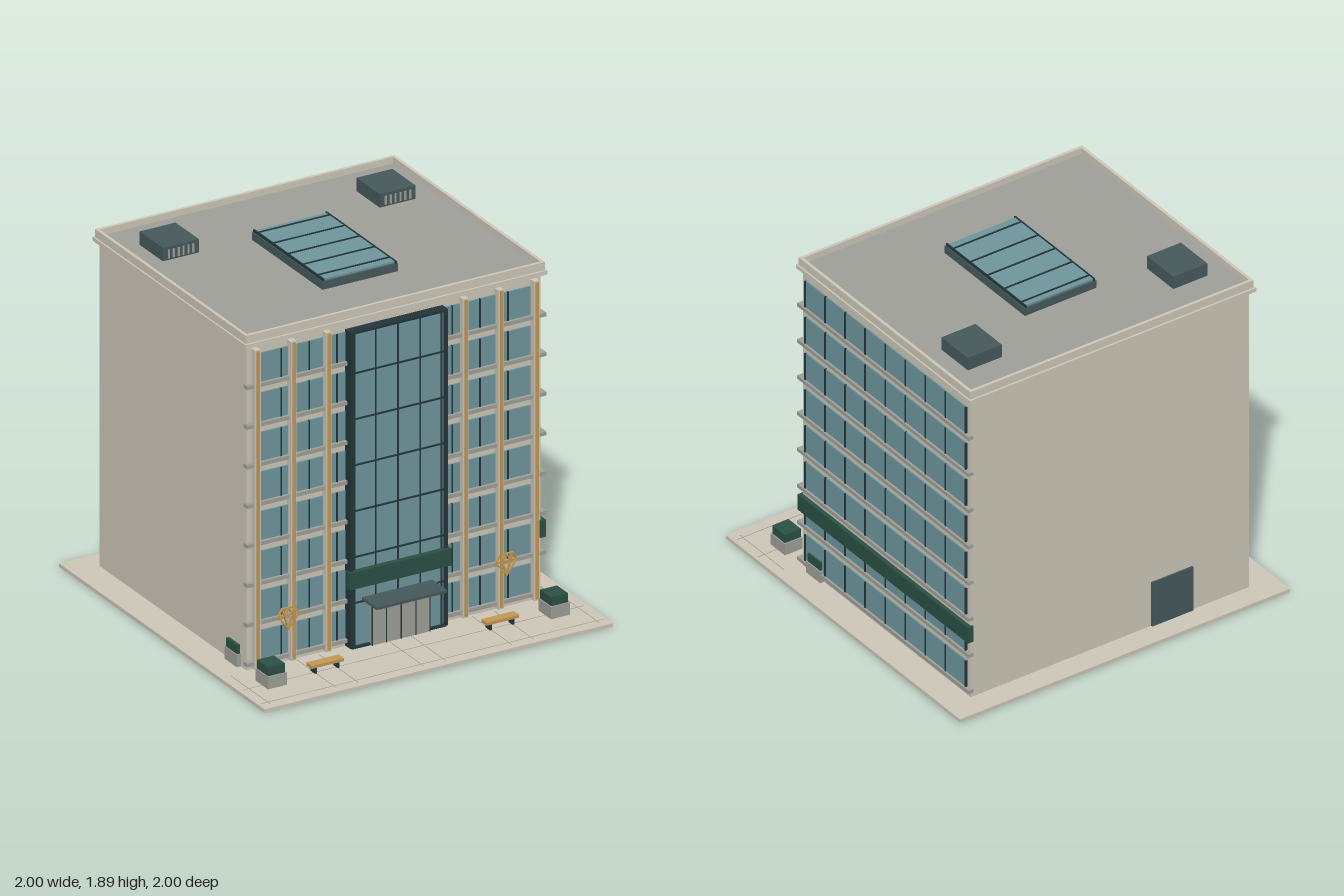
import * as THREE from 'three';

const mat = (name, hex) => {
  const m = new THREE.MeshStandardMaterial({ color: hex });
  m.name = name;
  return m;
};

export function createModel() {
  const root = new THREE.Group();
  root.name = 'officeBuilding';

  const stone = mat('pale stone', 0xcfc9ba);
  const grey = mat('grey concrete', 0xa0a19a);
  const glass = mat('blue glass', 0x6f989f);
  const frame = mat('dark frame', 0x24363a);
  const slate = mat('slate metal', 0x465a5c);
  const green = mat('deep green', 0x2b5145);
  const gold = mat('brass', 0xc69a52);

  // Box given by its extents on each axis
  const box = (name, m, x0, x1, y0, y1, z0, z1, parent = root) => {
    const mesh = new THREE.Mesh(new THREE.BoxGeometry(x1 - x0, y1 - y0, z1 - z0), m);
    mesh.position.set((x0 + x1) / 2, (y0 + y1) / 2, (z0 + z1) / 2);
    mesh.name = name;
    parent.add(mesh);
    return mesh;
  };
  // Box centred on x and z
  const block = (name, m, x, z, w, d, y0, y1, parent = root) =>
    box(name, m, x - w / 2, x + w / 2, y0, y1, z - d / 2, z + d / 2, parent);
  const group = (name) => {
    const g = new THREE.Group();
    g.name = name;
    root.add(g);
    return g;
  };

  // Plaza slab and paving joints
  box('plaza', stone, -1, 1, 0, 0.02, -1, 1);
  const paving = group('pavingJoints');
  for (const s of [-1, 1]) {
    for (const x of [0.063, 0.44, 0.565, 0.943]) block('joint', grey, s * x, 0.77, 0.004, 0.38, 0.019, 0.021, paving);
  }
  for (const z of [0.75, 0.935]) block('joint', grey, 0, z, 1.96, 0.004, 0.019, 0.021, paving);

  // Main body, cornice and roof
  const cz = -0.155, front = 0.56, back = -0.87, side = 0.843;
  block('walls', stone, 0, cz, side * 2, front - back, 0.02, 1.795);
  block('cornice', stone, 0, cz, 1.734, 1.486, 1.785, 1.806);
  block('roofDeck', grey, 0, cz, 1.7, 1.45, 1.8, 1.815);
  const parapet = group('parapet');
  for (const s of [-1, 1]) {
    block('parapetSide', stone, s * 0.8495, cz, 0.017, 1.464, 1.8, 1.85, parapet);
    block('parapetEnd', stone, 0, cz + s * 0.7235, 1.682, 0.017, 1.8, 1.85, parapet);
  }

  // Storeys: window bands, mullions and ledges on the front and left sides
  const storeys = group('storeys');
  for (let i = 0; i < 8; i++) {
    const y = 0.058 + 0.2155 * i;
    const g0 = y + 0.009, g1 = y + 0.166;
    for (const s of [-1, 1]) {
      block('frontWindows', glass, s * 0.53, front, 0.5, 0.016, g0, g1, storeys);
      for (const x of [0.33, 0.49, 0.65]) block('frontMullion', frame, s * x, front + 0.004, 0.008, 0.016, g0, g1, storeys);
    }
    box('sideWindows', glass, side - 0.01, side + 0.007, g0, g1, -0.84, 0.535, storeys);
    for (let k = 0; k < 9; k++) {
      block('sideMullion', frame, side + 0.003, 0.531 - 0.171 * k, 0.018, 0.008, g0, g1, storeys);
    }
    box('frontLedge', grey, -0.855, 0.862, y - 0.01, y + 0.01, front - 0.01, 0.585, storeys);
    box('sideLedge', grey, side - 0.01, 0.862, y - 0.01, y + 0.01, -0.878, front - 0.01, storeys);
  }

  // Vertical fins with brass faces
  const fins = group('facadeFins');
  for (const s of [-1, 1]) {
    for (const x of [0.8, 0.595, 0.393]) {
      block('fin', stone, s * x, 0.577, 0.032, 0.04, 0.03, 1.767, fins);
      block('finStrip', gold, s * x, 0.6, 0.016, 0.008, 0.04, 1.762, fins);
    }
  }

  // Central curtain wall
  const curtain = group('curtainWall');
  box('curtainGlass', glass, -0.27, 0.27, 0.03, 1.74, 0.55, 0.6, curtain);
  for (const s of [-1, 1]) {
    block('outerFrame', frame, s * 0.271, 0.585, 0.018, 0.06, 0.025, 1.745, curtain);
    block('innerFrame', frame, s * 0.25, 0.595, 0.01, 0.02, 0.025, 1.74, curtain);
    block('mullion', frame, s * 0.127, 0.6, 0.005, 0.01, 0.03, 1.74, curtain);
  }
  block('mullion', frame, 0, 0.6, 0.006, 0.01, 0.03, 1.74, curtain);
  block('topFrame', frame, 0, 0.585, 0.54, 0.06, 1.732, 1.745, curtain);
  block('bottomFrame', frame, 0, 0.585, 0.54, 0.06, 0.02, 0.032, curtain);
  for (let i = 0; i < 6; i++) {
    const y = 0.264 + 0.25 * i;
    block('transom', frame, 0, 0.6, 0.54, 0.012, y - 0.004, y + 0.004, curtain);
  }

  // Green bands
  box('frontBand', green, -0.292, 0.292, 0.353, 0.445, 0.595, 0.63);
  box('sideBand', green, side - 0.01, 0.866, 0.353, 0.445, -0.88, 0.575);

  // Entrance with canopy
  const entrance = group('entrance');
  box('doorPanels', grey, -0.165, 0.165, 0.025, 0.268, 0.59, 0.632, entrance);
  for (const x of [-0.165, -0.085, 0, 0.085, 0.165]) block('doorPost', frame, x, 0.632, 0.005, 0.008, 0.025, 0.268, entrance);
  box('canopy', slate, -0.205, 0.2, 0.27, 0.285, 0.59, 0.742, entrance);

  // Service door on the back
  box('serviceDoor', slate, -0.5, -0.25, 0.02, 0.28, -0.88, back + 0.01);

  // Wire gem ornaments on the facade
  const ornament = (x) => {
    const g = group('gemOrnament');
    const p = [[-0.036, 0.325], [0.036, 0.325], [0.06, 0.287], [0, 0.21], [-0.06, 0.287], [-0.023, 0.287], [0.023, 0.287], [0, 0.325]];
    const bars = [[0, 1], [1, 2], [2, 3], [3, 4], [4, 0], [4, 2], [5, 3], [6, 3], [5, 0], [5, 7], [6, 7], [6, 1]];
    for (const [a, b] of bars) {
      const dx = p[b][0] - p[a][0], dy = p[b][1] - p[a][1];
      const bar = new THREE.Mesh(new THREE.BoxGeometry(Math.hypot(dx, dy) + 0.006, 0.008, 0.01), gold);
      bar.position.set(x + (p[a][0] + p[b][0]) / 2, (p[a][1] + p[b][1]) / 2, 0.596);
      bar.rotation.z = Math.atan2(dy, dx);
      bar.name = 'gemBar';
      g.add(bar);
    }
  };

  for (const s of [-1, 1]) {
    ornament(s * 0.625);

    // Planters with clipped hedges
    for (const z of [0.745, 0.443]) {
      const planter = group('planter');
      block('pot', grey, s * 0.812, z, 0.108, 0.122, 0.02, 0.087, planter);
      block('hedge', green, s * 0.812, z, 0.097, 0.108, 0.087, 0.135, planter);
    }

    // Benches
    const bench = group('bench');
    block('seat', gold, s * 0.502, 0.745, 0.186, 0.052, 0.053, 0.069, bench);
    for (const d of [-0.065, 0.065]) block('leg', frame, s * 0.502 + d, 0.745, 0.012, 0.042, 0.02, 0.053, bench);

    // Rooftop machines with louvres
    const unit = group('rooftopUnit');
    block('casing', slate, s * 0.622, -0.567, 0.206, 0.226, 1.81, 1.888, unit);
    for (let k = 0; k < 6; k++) {
      block('louvre', grey, s * 0.622 - 0.07 + 0.028 * k, -0.453, 0.01, 0.008, 1.825, 1.872, unit);
    }
  }

  // Skylight
  const sky = group('skylight');
  block('skylightCurb', slate, 0, -0.107, 0.434, 0.686, 1.81, 1.858, sky);
  block('skylightGlass', glass, 0, -0.107, 0.41, 0.664, 1.855, 1.868, sky);
  for (const z of [-0.405, -0.26, -0.115, 0.03, 0.175]) block('skylightBar', frame, 0, z, 0.412, 0.008, 1.86, 1.873, sky);
  for (const s of [-1, 1]) block('skylightRail', frame, s * 0.207, -0.107, 0.008, 0.68, 1.855, 1.871, sky);

  return root;
}
